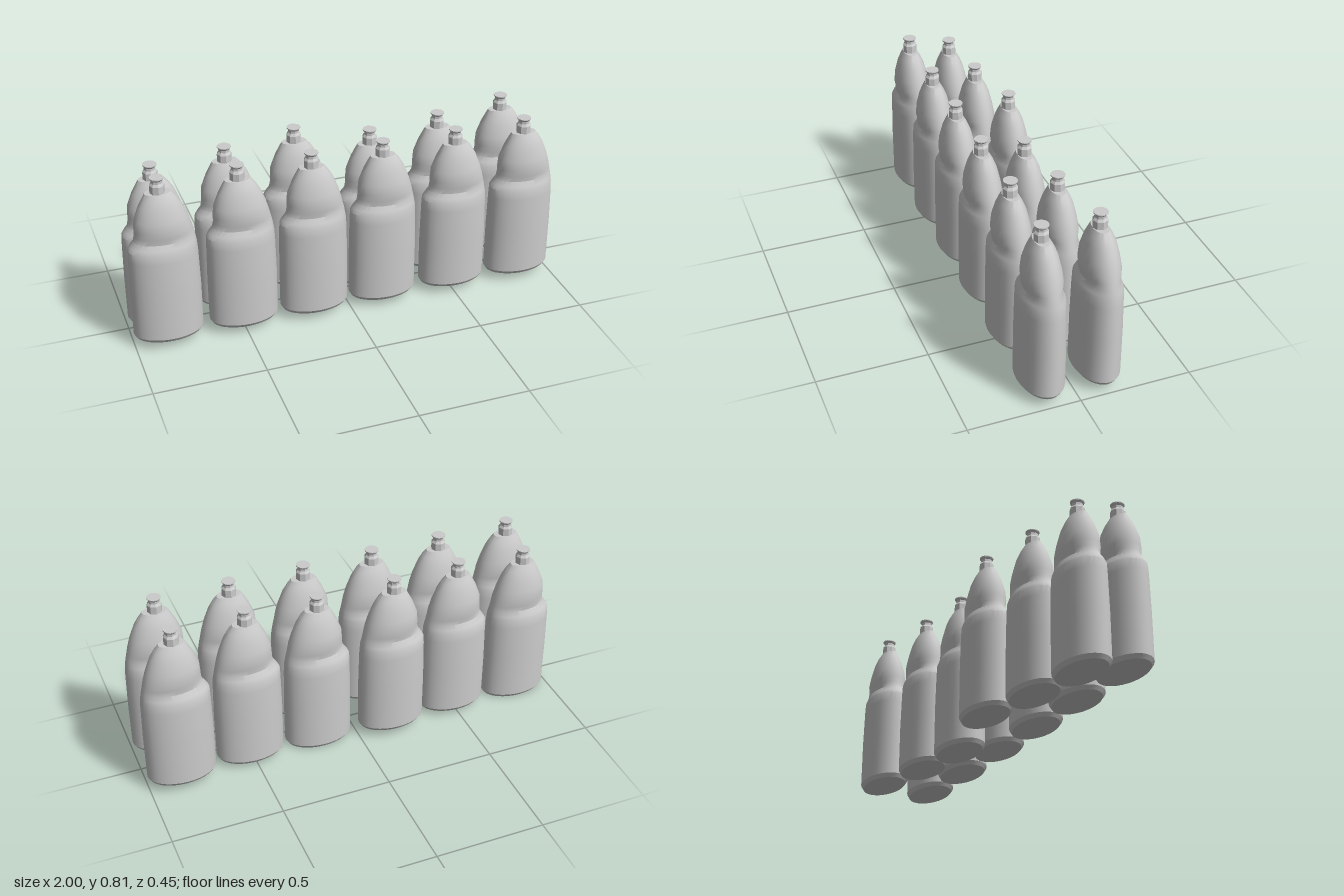
import * as THREE from 'three';
import { toCreasedNormals } from 'three/addons/utils/BufferGeometryUtils.js';

const SIDES = 32;

// Body cross-sections: height, -x extent, +x extent, half depth
const SECTIONS = [
  [0, 0.146, 0.146, 0.088],
  [0.018, 0.157, 0.157, 0.1],
  [0.23, 0.157, 0.157, 0.099],
  [0.4, 0.154, 0.153, 0.095],
  [0.444, 0.152, 0.15, 0.093],
  [0.462, 0.142, 0.147, 0.085],
  [0.485, 0.125, 0.143, 0.074],
  [0.51, 0.119, 0.137, 0.076],
  [0.54, 0.118, 0.13, 0.081],
  [0.585, 0.115, 0.117, 0.075],
  [0.645, 0.092, 0.093, 0.061],
  [0.68, 0.074, 0.072, 0.047],
  [0.705, 0.061, 0.052, 0.033],
];
const NECK_X = -0.005;

// Ellipse rings joined by quads, capped at both ends
function bodyGeometry() {
  const pos = [], idx = [];
  for (const [y, left, right, depth] of SECTIONS) {
    for (let i = 0; i < SIDES; i++) {
      const a = (i / SIDES) * Math.PI * 2;
      pos.push((right - left) / 2 + Math.cos(a) * (left + right) / 2, y, Math.sin(a) * depth);
    }
  }
  const last = SECTIONS.length - 1;
  for (let r = 0; r < last; r++) {
    for (let i = 0; i < SIDES; i++) {
      const j = (i + 1) % SIDES;
      const a = r * SIDES + i, b = r * SIDES + j;
      idx.push(a, a + SIDES, b, b, a + SIDES, b + SIDES);
    }
  }
  const top = last * SIDES;
  for (let i = 1; i < SIDES - 1; i++) {
    idx.push(0, i, i + 1, top, top + i + 1, top + i);
  }
  const g = new THREE.BufferGeometry();
  g.setAttribute('position', new THREE.Float32BufferAttribute(pos, 3));
  g.setIndex(idx);
  return toCreasedNormals(g, 0.5);
}

// Turned part from [radius, height] pairs
function turned(profile, sides) {
  return new THREE.LatheGeometry(profile.map(([r, y]) => new THREE.Vector2(r, y)), sides);
}

export function createModel() {
  const group = new THREE.Group();
  const smooth = new THREE.MeshStandardMaterial({ color: 0xcccccc });
  const faceted = new THREE.MeshStandardMaterial({ color: 0xcccccc, flatShading: true });

  const body = bodyGeometry();
  const neck = turned([[0.033, 0.703], [0.033, 0.74], [0.025, 0.751], [0.025, 0.766]], 8);
  const lip = turned([[0.024, 0.762], [0.031, 0.771], [0.031, 0.775], [0, 0.775]], 16);

  function addBottle(name, x, y, z) {
    const bottle = new THREE.Group();
    bottle.name = name;
    const parts = [['body', body, smooth, 0], ['neck', neck, faceted, NECK_X], ['lip', lip, faceted, NECK_X]];
    for (const [part, geometry, material, px] of parts) {
      const mesh = new THREE.Mesh(geometry, material);
      mesh.name = part;
      mesh.position.x = px;
      bottle.add(mesh);
    }
    bottle.position.set(x, y, z);
    group.add(bottle);
  }

  // Even front row
  [-0.842, -0.497, -0.166, 0.163, 0.508, 0.842].forEach((x, i) => addBottle(`frontBottle${i + 1}`, x, 0.04, 0.126));

  // Back row steps up and back in threes
  const steps = [[0, -0.07], [0.022, -0.084], [0.04, -0.126]];
  [-0.831, -0.497, -0.166, 0.174, 0.508, 0.842].forEach((x, i) => {
    const [y, z] = steps[i % 3];
    addBottle(`backBottle${i + 1}`, x, y, z);
  });
  return group;
}
